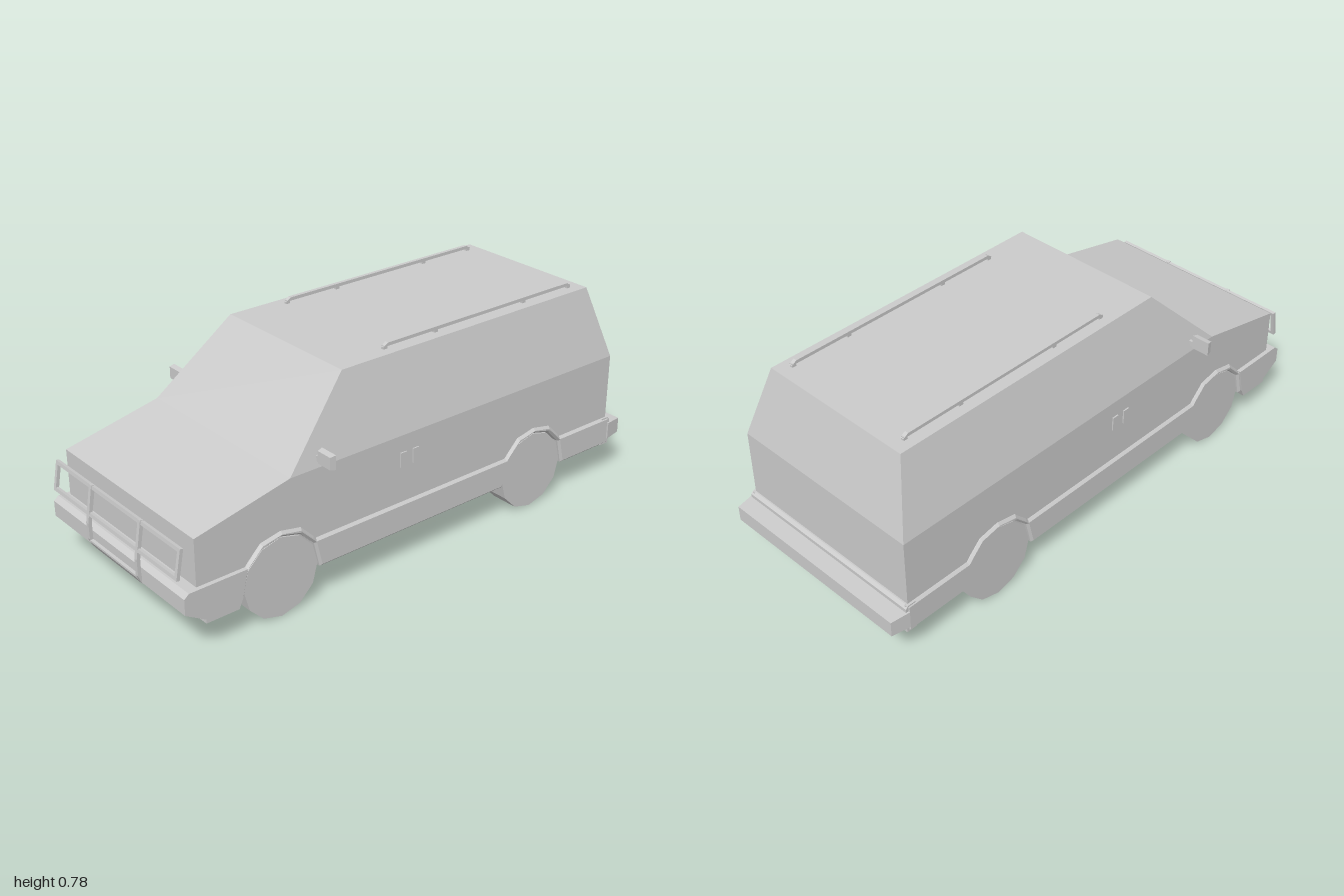
import * as THREE from 'three';

const grey = new THREE.MeshStandardMaterial({ color: 0xcccccc, flatShading: true });

// Side profile of [z, y] points, extruded along x from x0 to x1
function prism(points, x0, x1, bevel = 0) {
  const shape = new THREE.Shape(points.map(([z, y]) => new THREE.Vector2(-z, y)));
  const g = new THREE.ExtrudeGeometry(shape, {
    depth: x1 - x0 - 2 * bevel, bevelEnabled: bevel > 0, bevelSegments: 1,
    bevelThickness: bevel, bevelSize: bevel, bevelOffset: -bevel,
  });
  return g.rotateY(Math.PI / 2).translate(x0 + bevel, 0, 0);
}

function box(x0, x1, y0, y1, z0, z1) {
  return new THREE.BoxGeometry(x1 - x0, y1 - y0, z1 - z0)
    .translate((x0 + x1) / 2, (y0 + y1) / 2, (z0 + z1) / 2);
}

// Moves every vertex by a rule
function reshape(g, rule) {
  const p = g.attributes.position, v = new THREE.Vector3();
  for (let i = 0; i < p.count; i++) {
    rule(v.fromBufferAttribute(p, i));
    p.setXYZ(i, v.x, v.y, v.z);
  }
  g.computeVertexNormals();
  return g;
}

const FRONT_AXLE = 0.608, REAR_AXLE = -0.53, WHEEL_R = 0.147;
const FLOOR = 0.13, WAIST = 0.49;

// Faceted arch outlines, listed from the rear foot to the front foot
const arch = (half, axle) => [
  ...half.map(([dz, y]) => [axle - dz, y]),
  ...half.slice(0, -1).reverse().map(([dz, y]) => [axle + dz, y]),
];
const inner = [[0.153, FLOOR], [0.131, 0.225], [0.077, 0.279], [0, 0.299]];
const outer = [[0.14, 0.24], [0.13, 0.252], [0.08, 0.302], [0, 0.318]];

export function createModel() {
  const model = new THREE.Group();
  const add = (name, geometry, parent = model) => {
    const mesh = new THREE.Mesh(geometry, grey);
    mesh.name = name;
    parent.add(mesh);
    return mesh;
  };

  // Lower body: solid core, with side slabs notched for the wheels
  const upperLine = [[0.93, FLOOR], [0.93, 0.41], [0.565, WAIST], [-0.925, WAIST], [-0.925, FLOOR]];
  const wheelCuts = [...arch(inner, REAR_AXLE), ...arch(inner, FRONT_AXLE)];
  add('bodyCore', prism(upperLine, -0.26, 0.26));

  // Cabin: a box tapered towards the roof, windscreen raked most
  const cabin = box(-0.38, 0.38, WAIST, 0.757, -0.925, 0.565);
  add('cabin', reshape(cabin, v => {
    if (v.y < 0.6) return;
    v.x = Math.sign(v.x) * 0.305;
    v.z = v.z > 0 ? 0.295 : -0.85;
  }));

  // Lower side trim that rises over the wheels
  const trim = [
    [-0.935, FLOOR], ...wheelCuts, [0.85, FLOOR], [0.85, 0.24],
    ...arch(outer, FRONT_AXLE).reverse(), ...arch(outer, REAR_AXLE).reverse(), [-0.935, 0.24],
  ];

  // Roof rail with sloping ends
  const rail = [[0.09, 0.766], [0.07, 0.778], [-0.785, 0.778], [-0.805, 0.766]];

  for (const [s, side] of [[1, 'left'], [-1, 'right']]) {
    const range = (a, b) => (s > 0 ? [a, b] : [-b, -a]);
    const sideBox = (a, b, ...rest) => box(...range(a, b), ...rest);

    add(side + 'BodySide', prism([...upperLine, ...wheelCuts], ...range(0.26, 0.38)));
    add(side + 'LowerTrim', prism(trim, ...range(0.368, 0.391), 0.008));

    // Wheels
    for (const [z, end] of [[FRONT_AXLE, 'Front'], [REAR_AXLE, 'Rear']]) {
      const wheel = new THREE.CylinderGeometry(WHEEL_R, WHEEL_R, 0.104, 12).rotateZ(Math.PI / 2);
      add(side + end + 'Wheel', wheel.translate(s * 0.328, WHEEL_R, z));
    }

    // Door handles
    for (const z of [0.04, 0.095]) {
      add(side + 'DoorHandle', sideBox(0.375, 0.385, 0.374, 0.428, z - 0.013, z + 0.013));
    }

    // Mirror: housing narrowed to the front, on a short arm
    const mirror = new THREE.Group();
    mirror.name = side + 'Mirror';
    model.add(mirror);
    add('mirrorArm', sideBox(0.355, 0.39, 0.51, 0.53, 0.444, 0.454), mirror);
    add('mirrorHousing', reshape(sideBox(0.385, 0.455, 0.508, 0.56, 0.441, 0.462), v => {
      if (v.z < 0.45) return;
      v.x += (s * 0.42 - v.x) * 0.12;
      v.y += (0.534 - v.y) * 0.15;
    }), mirror);

    // Roof rail on four feet
    const rack = new THREE.Group();
    rack.name = side + 'RoofRail';
    model.add(rack);
    add('rail', prism(rail, ...range(0.255, 0.269)), rack);
    for (const z of [0.08, -0.145, -0.565, -0.795]) {
      add('railFoot', sideBox(0.256, 0.268, 0.75, 0.77, z - 0.008, z + 0.008), rack);
    }
  }

  // Front bumper with chin, following the arch at its rear edge
  add('frontBumper', prism([
    [0.9, 0.24], [0.967, 0.24], [0.985, 0.225], [0.985, 0.168], [0.91, 0.123],
    [0.91, 0.108], [0.785, 0.108], [0.785, 0.13], [0.9, 0.13],
  ], -0.392, 0.392));
  for (const s of [1, -1]) {
    const [a, b] = s > 0 ? [0.37, 0.396] : [-0.396, -0.37];
    add('frontBumperEnd', prism([
      [0.967, 0.24], [0.985, 0.225], [0.985, 0.168], [0.91, 0.123],
      [0.91, 0.108], [0.785, 0.108], [0.77, 0.14], [0.748, 0.24],
    ], a, b));
  }

  // Rear trim band and bumper with chamfered corners
  add('rearTrim', prism([
    [-0.9, FLOOR], [-0.94, FLOOR], [-0.94, 0.23], [-0.93, 0.24], [-0.9, 0.24],
  ], -0.388, 0.388));
  add('rearBumper', reshape(box(-0.395, 0.395, 0.152, 0.217, -1, -0.93), v => {
    if (v.z < -0.95) {
      v.x *= 0.97;
      v.y = v.y > 0.18 ? 0.213 : 0.155;
    }
  }));

  // Front guard: leaning frame with three openings
  const guard = new THREE.Group();
  guard.name = 'frontGuard';
  model.add(guard);
  const rect = (Type, x0, x1, y0, y1) => new Type([[x0, y0], [x1, y0], [x1, y1], [x0, y1]]
    .map(([x, y]) => new THREE.Vector2(x, y)));
  const frame = rect(THREE.Shape, -0.372, 0.372, 0, 0.108);
  for (const [x0, x1] of [[-0.359, -0.153], [-0.14, 0.14], [0.153, 0.359]]) {
    frame.holes.push(rect(THREE.Path, x0, x1, 0.013, 0.095));
  }
  add('guardFrame', new THREE.ExtrudeGeometry(frame, { depth: 0.012, bevelEnabled: false })
    .rotateX(-0.18).translate(0, 0.28, 0.982), guard);

  // Guard uprights, bent back under the bumper
  const upright = [
    [0.977, 0.39], [0.999, 0.255], [0.998, 0.195], [0.985, 0.165], [0.96, 0.15],
    [0.96, 0.16], [0.976, 0.175], [0.986, 0.2], [0.986, 0.255], [0.964, 0.388],
  ];
  for (const x of [-0.147, 0.147]) add('guardUpright', prism(upright, x - 0.007, x + 0.007), guard);
  add('guardCrossPlate', prism([
    [0.997, 0.193], [0.997, 0.186], [0.98, 0.158], [0.968, 0.158], [0.984, 0.193],
  ], -0.142, 0.142), guard);

  return model;
}
